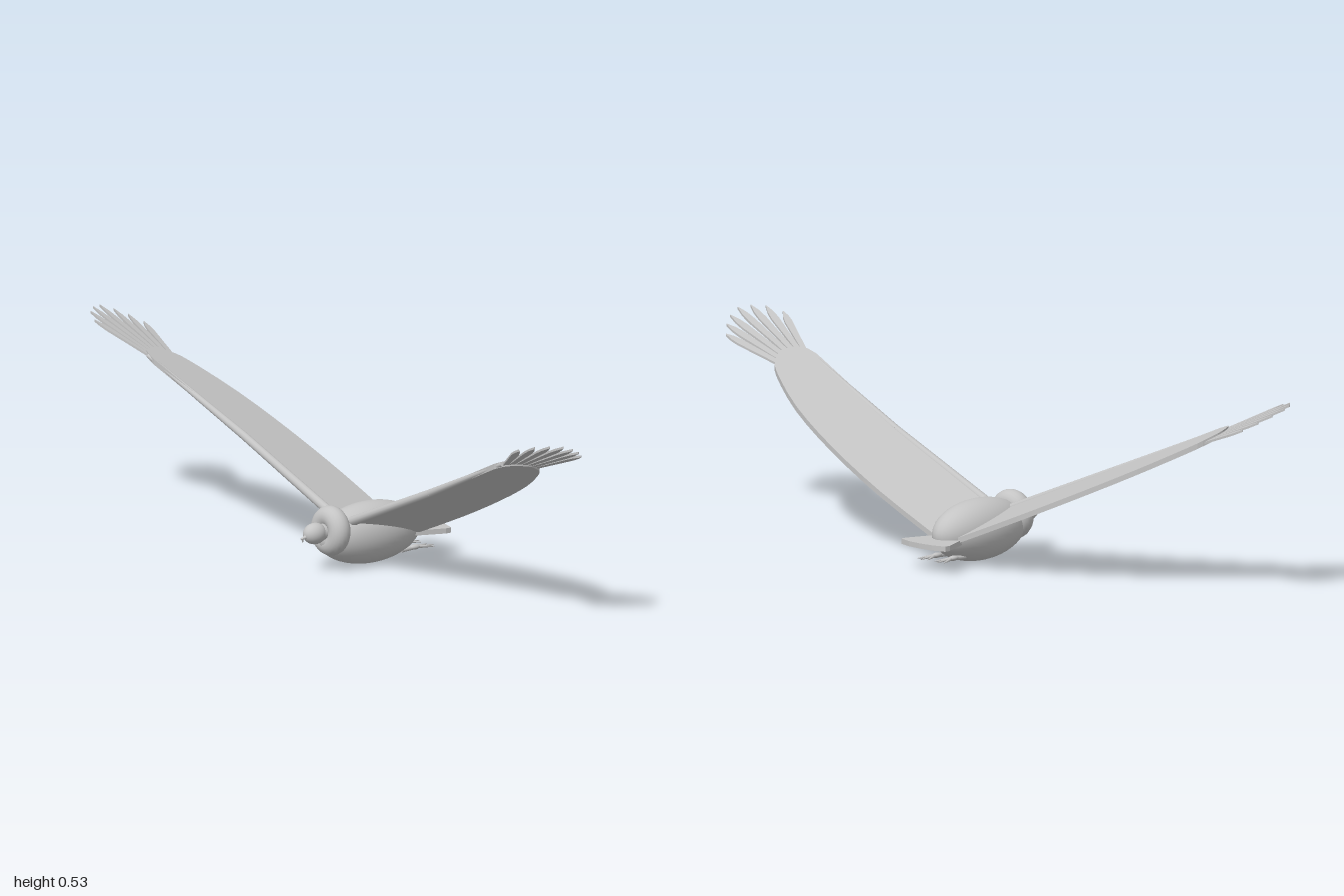
import * as THREE from 'three';

const grey = new THREE.MeshStandardMaterial({ color: 0xc4c4c4 });
grey.name = 'plumage grey';

const V = (x, y, z) => new THREE.Vector3(x, y, z);

// Height of the raised wing's underside at a plan position
const wingY = (x, z) => 0.087 + 0.4 * Math.abs(x) + 0.268 * z;

function add(parent, name, geometry, x = 0, y = 0, z = 0) {
  const mesh = new THREE.Mesh(geometry, grey);
  mesh.name = name;
  mesh.position.set(x, y, z);
  parent.add(mesh);
  return mesh;
}

function ellipsoid(parent, name, rx, ry, rz, x, y, z) {
  const geometry = new THREE.SphereGeometry(1, 32, 24).scale(rx, ry, rz);
  return add(parent, name, geometry, x, y, z);
}

// Tapered round bar between two points
function bar(parent, name, from, to, r0, r1, sides = 12) {
  const d = to.clone().sub(from);
  const mesh = add(parent, name, new THREE.CylinderGeometry(r1, r0, d.length(), sides));
  mesh.position.copy(from).addScaledVector(d, 0.5);
  mesh.quaternion.setFromUnitVectors(V(0, 1, 0), d.normalize());
  return mesh;
}

// Flat plate from [x, z] plan points, extruded upwards
function plate(points, depth) {
  const shape = new THREE.Shape(points.map(([x, z]) => new THREE.Vector2(x, -z)));
  const geometry = new THREE.ExtrudeGeometry(shape, { depth, bevelEnabled: false });
  return geometry.rotateX(-Math.PI / 2);
}

// Lift a flat plate onto the slanted wing plane
function lift(geometry, offset = 0) {
  const p = geometry.attributes.position;
  for (let i = 0; i < p.count; i++) {
    p.setY(i, p.getY(i) + offset + wingY(p.getX(i), p.getZ(i)));
  }
  geometry.computeVertexNormals();
  return geometry;
}

function wing(side) {
  const group = new THREE.Group();
  group.name = side > 0 ? 'leftWing' : 'rightWing';

  // Main panel: slightly bent leading edge, rounded tip and trailing edge
  const curve = new THREE.SplineCurve([
    [0.73, 0.15], [0.775, 0.14], [0.8, 0.09], [0.785, 0.05], [0.75, 0.014],
    [0.62, -0.047], [0.45, -0.09], [0.25, -0.118], [0.02, -0.13],
  ].map(([x, z]) => new THREE.Vector2(x, z)));
  const outline = [[0.02, 0.08], [0.4, 0.105], ...curve.getPoints(24).map((p) => [p.x, p.y])];
  add(group, 'wingPanel', lift(plate(outline.map(([x, z]) => [side * x, z]), 0.015)));

  // Arm bones along the leading edge
  const joint = (x, z) => V(side * x, wingY(x, z) + 0.008, z);
  const elbow = joint(0.4, 0.105);
  bar(group, 'upperArm', joint(0.03, 0.085), elbow, 0.013, 0.011);
  bar(group, 'forearm', elbow, joint(0.76, 0.146), 0.011, 0.006);

  // Fanned finger feathers: [x, z] tips
  const tips = [
    [0.91, 0.209], [0.953, 0.189], [0.98, 0.159], [0.995, 0.125],
    [0.985, 0.086], [0.967, 0.052], [0.94, 0.021],
  ];
  tips.forEach(([tx, tz], i) => {
    const bx = 0.76, bz = 0.137 - i * 0.014;
    const dx = tx - bx, dz = tz - bz, len = Math.hypot(dx, dz);
    const profile = [[0, 0.007], [0.4, 0.0085], [0.75, 0.0105], [0.88, 0.008], [1, 0.001]];
    const at = (t, w) => [side * (bx + dx * t - (dz / len) * w), bz + dz * t + (dx / len) * w];
    const points = [
      ...profile.map(([t, w]) => at(t, w)),
      ...profile.map(([t, w]) => at(t, -w)).reverse(),
    ];
    add(group, 'fingerFeather', lift(plate(points, 0.006), 0.004));
  });
  return group;
}

function foot(side) {
  const group = new THREE.Group();
  group.name = side > 0 ? 'leftFoot' : 'rightFoot';
  const x = side * 0.03;
  bar(group, 'leg', V(x, 0.026, -0.085), V(x, 0.029, -0.14), 0.006, 0.006);
  ellipsoid(group, 'ankle', 0.009, 0.007, 0.018, x, 0.029, -0.13);
  for (const k of [-1, 0, 1]) {
    const tip = V(x + k * 0.018, 0.026, -0.193 + Math.abs(k) * 0.008);
    bar(group, 'toe', V(x, 0.029, -0.138), tip, 0.005, 0.001, 8);
  }
  return group;
}

export function createModel() {
  const bird = new THREE.Group();
  bird.name = 'soaringBird';

  // Body, neck ruff and head
  ellipsoid(bird, 'body', 0.076, 0.083, 0.163, 0, 0.085, 0);
  const ruff = add(bird, 'neckRuff', new THREE.TorusGeometry(0.037, 0.03, 20, 40), 0, 0.107, 0.128);
  ruff.rotation.x = -0.06;
  bar(bird, 'neck', V(0, 0.105, 0.1), V(0, 0.107, 0.18), 0.024, 0.022, 20);
  ellipsoid(bird, 'head', 0.027, 0.0285, 0.034, 0, 0.107, 0.181);

  // Hooked beak
  bar(bird, 'beak', V(0, 0.103, 0.208), V(0, 0.098, 0.227), 0.007, 0.002);
  bar(bird, 'beakHook', V(0, 0.1, 0.223), V(0, 0.087, 0.221), 0.004, 0.0005, 8);

  // Fan tail
  const half = [[0.046, -0.11], [0.08, -0.197], [0.08, -0.214], [0.042, -0.225]];
  const tail = [...half, [0, -0.228], ...half.map(([x, z]) => [-x, z]).reverse()];
  add(bird, 'tail', plate(tail, 0.014), 0, 0.065, 0);

  for (const side of [1, -1]) bird.add(wing(side), foot(side));
  return bird;
}
